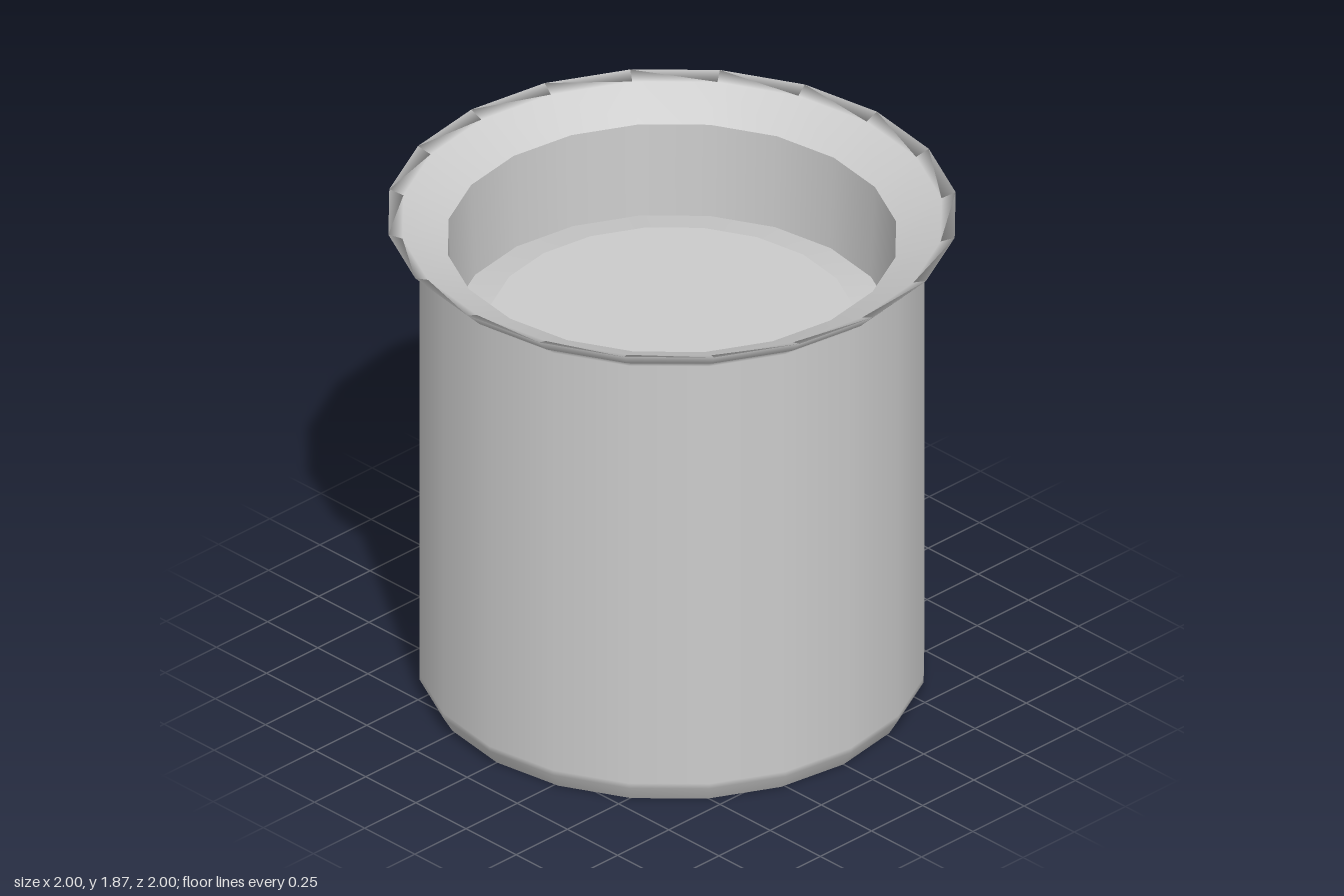
import * as THREE from 'three';

const SIDES = 20;

export function createModel() {
  const group = new THREE.Group();
  const material = new THREE.MeshStandardMaterial({ color: 0xcccccc });

  // Each part is a turned profile of [radius, height]; separate parts keep creases sharp
  const turn = (name, profile) => {
    const points = profile.map(([r, y]) => new THREE.Vector2(r, y));
    const mesh = new THREE.Mesh(new THREE.LatheGeometry(points, SIDES), material);
    mesh.name = name;
    group.add(mesh);
  };

  // Underside
  turn('base', [[0, 0], [0.855, 0]]);

  // Bevelled foot, straight wall, flared lip and the funnel inside it
  turn('outerWallAndRim', [
    [0.855, 0], [0.89, 0.06], [0.89, 0.08], [0.89, 1.77], [0.89, 1.785],
    [0.94, 1.81], [1, 1.87], [0.95, 1.85], [0.79, 1.77],
  ]);

  // Slightly tapered inside wall
  turn('innerWall', [[0.79, 1.77], [0.775, 1.41]]);

  // Raised contents: sloping edge and flat top
  turn('fillingEdge', [[0.775, 1.41], [0.64, 1.44]]);
  turn('fillingTop', [[0.64, 1.44], [0, 1.44]]);

  return group;
}
